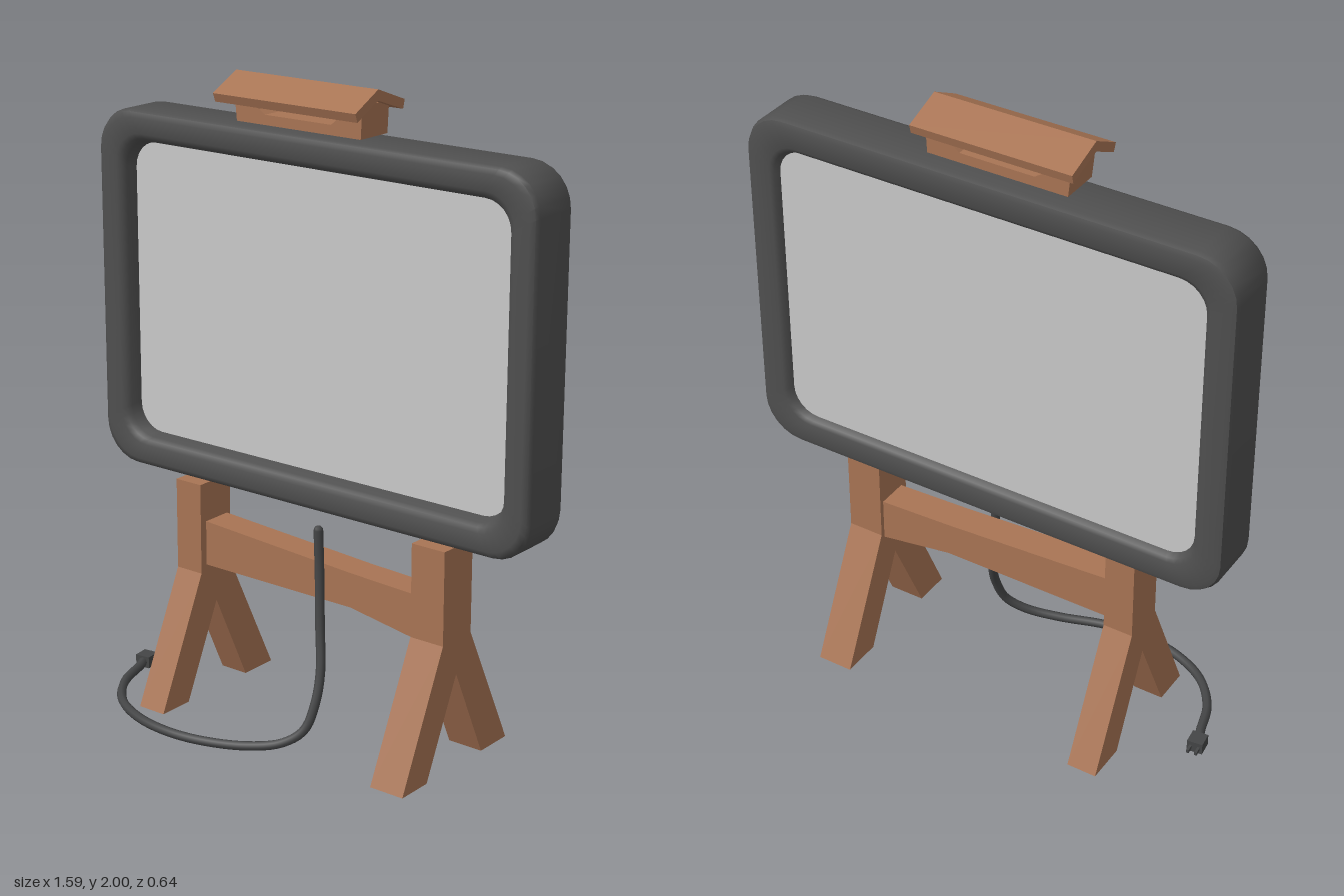
import * as THREE from 'three';
import { toCreasedNormals } from 'three/addons/utils/BufferGeometryUtils.js';

const mat = (name, color, extra = {}) => {
  const m = new THREE.MeshStandardMaterial({ color, ...extra });
  m.name = name;
  return m;
};

// Counter-clockwise rounded rectangle as a list of points
function roundedRect(cx, cy, w, h, r, seg = 6) {
  const pts = [];
  [[1, 1], [-1, 1], [-1, -1], [1, -1]].forEach(([sx, sy], q) => {
    for (let i = 0; i <= seg; i++) {
      const a = (q + i / seg) * Math.PI / 2;
      pts.push(new THREE.Vector2(
        cx + sx * (w / 2 - r) + r * Math.cos(a),
        cy + sy * (h / 2 - r) + r * Math.sin(a)));
    }
  });
  return pts;
}

// Closed band: sweeps an (inset, z) profile around a rounded rectangle
function frameGeometry(cx, cy, w, h, radius, profile) {
  const pos = [], idx = [];
  let n = 0;
  for (const [inset, z] of profile) {
    const ring = roundedRect(cx, cy, w - 2 * inset, h - 2 * inset, radius - 0.4 * inset);
    n = ring.length;
    ring.forEach(p => pos.push(p.x, p.y, z));
  }
  const m = profile.length;
  for (let i = 0; i < m; i++) {
    for (let j = 0; j < n; j++) {
      const k = (j + 1) % n, t = (i + 1) % m;
      const a = i * n + j, b = i * n + k, c = t * n + k, d = t * n + j;
      idx.push(a, b, c, a, c, d);
    }
  }
  const g = new THREE.BufferGeometry();
  g.setAttribute('position', new THREE.Float32BufferAttribute(pos, 3));
  g.setIndex(idx);
  return toCreasedNormals(g, 0.75);
}

const toShape = pts => new THREE.Shape(pts.map(([x, y]) => new THREE.Vector2(x, y)));

// Extrudes an xy outline between z0 and z1
function slabZ(shape, z0, z1) {
  return new THREE.ExtrudeGeometry(shape, { depth: z1 - z0, bevelEnabled: false })
    .translate(0, 0, z0);
}

// Extrudes a zy outline between x0 and x1
function slabX(shape, x0, x1) {
  return new THREE.ExtrudeGeometry(shape, { depth: x1 - x0, bevelEnabled: false })
    .rotateY(-Math.PI / 2).translate(x1, 0, 0);
}

export function createModel() {
  const group = new THREE.Group();
  const wood = mat('wood', 0xa87454);
  const dark = mat('dark grey frame', 0x4f4f4f);
  const rubber = mat('cable rubber', 0x444546);
  const glass = mat('pale screen', 0xc9c9c9);
  const add = (name, geo, material) => {
    const mesh = new THREE.Mesh(geo, material);
    mesh.name = name;
    group.add(mesh);
    return mesh;
  };

  // Screen frame
  const cy = 1.2825;
  add('screenFrame', frameGeometry(0, cy, 1.59, 1.125, 0.125, [
    [0, -0.155], [0, -0.01], [0.006, 0.003], [0.022, 0.01], [0.07, 0.007],
    [0.085, 0], [0.094, -0.015], [0.106, -0.065],
    [0.106, -0.14], [0.092, -0.168], [0.08, -0.175], [0.02, -0.175], [0.006, -0.17],
  ]), dark);

  // Screen panel, visible on both sides
  const panel = new THREE.Shape(roundedRect(0, cy, 1.4, 0.935, 0.085));
  add('screenPanel', slabZ(panel, -0.15, -0.05), glass);

  // Two posts that split into front and back legs
  const leg = toShape([
    [0.09, 0.01], [0.21, 0.01], [0.02, 0.42], [0.02, 0.712],
    [-0.12, 0.712], [-0.12, 0.42], [-0.32, 0.01], [-0.19, 0.01], [-0.05, 0.31],
  ].reverse());
  add('rightLeg', slabX(leg, -0.49, -0.393), wood);
  add('leftLeg', slabX(leg, 0.41, 0.526), wood);

  // Cross rail between the posts
  add('crossRail', slabZ(toShape([
    [-0.4, 0.443], [0.17, 0.443], [0.42, 0.403], [0.42, 0.543], [0.17, 0.553], [-0.4, 0.587],
  ]), -0.105, -0.005), wood);

  // Small box with a slot, under the roof
  const box = toShape([[-0.25, 1.86], [0.2, 1.86], [0.205, 1.955], [-0.26, 1.955]]);
  const slot = [[-0.145, 1.89], [0.095, 1.89], [0.113, 1.905], [0.113, 1.922],
    [-0.168, 1.922], [-0.168, 1.905]];
  box.holes.push(new THREE.Path(slot.map(([x, y]) => new THREE.Vector2(x, y))));
  add('topBox', slabZ(box, -0.125, 0.0), wood);
  add('slotCeiling', new THREE.BoxGeometry(0.28, 0.006, 0.12).translate(-0.0275, 1.92, -0.0625), dark);

  // Gabled roof
  add('roof', slabX(toShape([
    [0.055, 1.92], [0.065, 1.946], [-0.04, 2.0], [-0.165, 1.955], [-0.158, 1.928], [-0.04, 1.968],
  ]), -0.285, 0.23), wood);

  // Trailing cable
  const path = new THREE.CatmullRomCurve3([
    [0.08, 0.68, 0.035], [0.086, 0.55, 0.037], [0.105, 0.38, 0.058], [0.132, 0.26, 0.09],
    [0.14, 0.17, 0.125], [0.125, 0.09, 0.16], [0.07, 0.045, 0.195], [-0.03, 0.022, 0.24],
    [-0.17, 0.017, 0.29], [-0.3, 0.017, 0.305], [-0.43, 0.018, 0.285], [-0.55, 0.02, 0.225],
    [-0.635, 0.024, 0.12], [-0.675, 0.028, 0.0], [-0.69, 0.029, -0.03],
  ].map(p => new THREE.Vector3(...p)));
  add('cable', new THREE.TubeGeometry(path, 90, 0.0145, 8), rubber);
  add('cableTip', new THREE.SphereGeometry(0.0145, 8, 6).translate(0.08, 0.68, 0.035), rubber);

  // Plug with two prongs
  const plug = new THREE.Group();
  plug.name = 'plug';
  plug.position.set(-0.69, 0.029, -0.045);
  plug.rotation.y = 0.12;
  const parts = [['plugBody', 0.05, 0.038, 0.05, 0, 0],
    ['prong', 0.008, 0.012, 0.03, -0.013, -0.035], ['prong', 0.008, 0.012, 0.03, 0.013, -0.035]];
  for (const [name, w, h, d, x, z] of parts) {
    const mesh = new THREE.Mesh(new THREE.BoxGeometry(w, h, d), rubber);
    mesh.name = name;
    mesh.position.set(x, 0, z);
    plug.add(mesh);
  }
  group.add(plug);
  return group;
}
